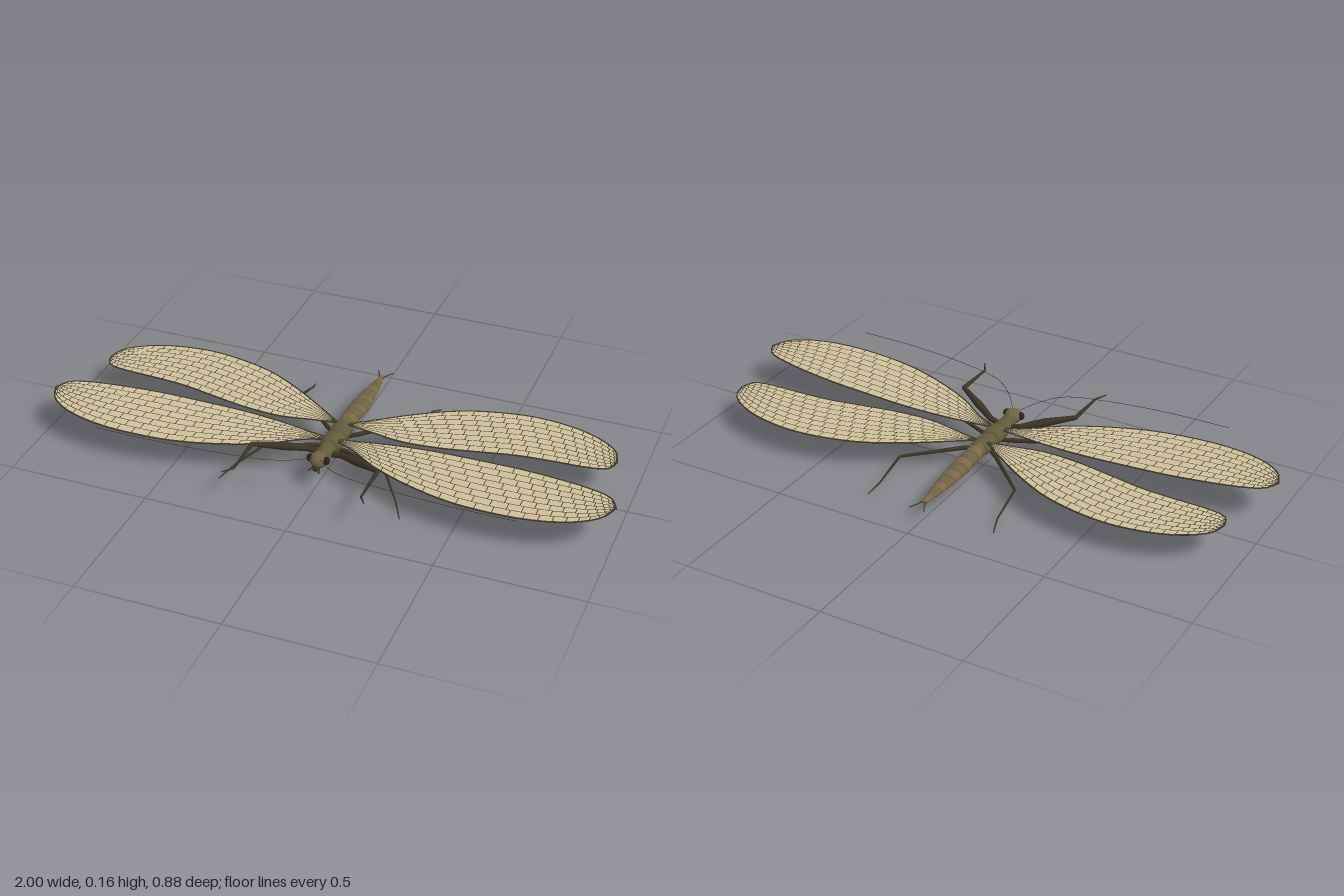
import * as THREE from 'three';
import { mergeGeometries } from 'three/addons/utils/BufferGeometryUtils.js';

const V = (x, y, z) => new THREE.Vector3(x, y, z);
const mat = (color, side = THREE.FrontSide) => new THREE.MeshStandardMaterial({ color, side });
const BODY = mat(0x6f6340), BAND = mat(0x7a6845), THORAX = mat(0x625b3a), DARK = mat(0x3b3425), EYE = mat(0x2b2019);
const MEMBRANE = mat(0xcfc09a, THREE.DoubleSide), VEIN = mat(0x40392a, THREE.DoubleSide);

function add(parent, name, geometry, material) {
  const mesh = new THREE.Mesh(geometry, material);
  mesh.name = name;
  parent.add(mesh);
  return mesh;
}

// Indexed surface from a rows x cols grid of points
function gridSurface(rows, cols, point) {
  const pos = [], index = [];
  for (let i = 0; i <= rows; i++) for (let j = 0; j <= cols; j++) pos.push(...point(i, j).toArray());
  for (let i = 0; i < rows; i++) for (let j = 0; j < cols; j++) {
    const a = i * (cols + 1) + j, b = a + cols + 1;
    index.push(a, a + 1, b, b, a + 1, b + 1);
  }
  const g = new THREE.BufferGeometry();
  g.setAttribute('position', new THREE.Float32BufferAttribute(pos, 3));
  g.setIndex(index);
  g.computeVertexNormals();
  return g;
}

// Elliptical body section; stations are [z, centre y, half width, half height], running front to back
function loft(stations, sides = 20) {
  return gridSurface(stations.length - 1, sides, (i, j) => {
    const [z, y, rx, ry] = stations[i], a = -j / sides * Math.PI * 2;
    return V(Math.cos(a) * rx, y + Math.sin(a) * ry, z);
  });
}

// Tapered round limb section between two points
function limb(a, b, r1, r2) {
  const d = b.clone().sub(a);
  const g = new THREE.CylinderGeometry(r2, r1, d.length(), 8);
  g.applyQuaternion(new THREE.Quaternion().setFromUnitVectors(V(0, 1, 0), d.normalize()));
  const m = a.clone().add(b).multiplyScalar(0.5);
  return g.translate(m.x, m.y, m.z);
}

// Jointed leg: points with a radius at each joint
function leg(points, radii) {
  const parts = [];
  for (let i = 0; i < points.length - 1; i++) {
    parts.push(limb(points[i], points[i + 1], radii[i], radii[i + 1]));
    parts.push(new THREE.SphereGeometry(radii[i + 1], 8, 6).translate(...points[i + 1].toArray()));
  }
  return mergeGeometries(parts);
}

const hair = (points, r) => new THREE.TubeGeometry(new THREE.CatmullRomCurve3(points), 40, r, 6);

// Flat strip following a line of points
function ribbon(points, width) {
  return gridSurface(points.length - 1, 1, (i, j) => {
    const d = points[Math.min(i + 1, points.length - 1)].clone().sub(points[Math.max(i - 1, 0)]).normalize();
    return points[i].clone().add(V(-d.z, 0, d.x).multiplyScalar((j - 0.5) * width));
  });
}

// Wing from two edge outlines (x, z pairs running root to tip), with a rim and a net of veins on top
function wing(name, front, back, y0, slope, side) {
  const curve = (e) => new THREE.SplineCurve(e.map(([x, z]) => new THREE.Vector2(x, z)));
  const F = curve(front), B = curve(back), ROWS = 40;
  const at = (t, s, lift = 0) => {
    const p = F.getPoint(t).lerp(B.getPoint(t), s);
    return V(side * p.x, y0 + slope * p.x + lift, p.y);
  };
  const line = (s, lift) => Array.from({ length: ROWS + 1 }, (_, i) => at(i / ROWS, s, lift));
  const group = new THREE.Group();
  group.name = name;
  // upward-facing winding on both sides
  add(group, 'membrane', gridSurface(ROWS, 10, (i, j) => at(i / ROWS, side > 0 ? 1 - j / 10 : j / 10)), MEMBRANE);
  add(group, 'rim', mergeGeometries([hair(line(0, 0), 0.0028), hair(line(1, 0), 0.0028)]), VEIN);
  const strips = [], LONG = 8, CROSS = 24;
  for (let k = 0; k < LONG; k++) {
    if (k > 0) strips.push(ribbon(line(k / LONG, 0.0015), 0.0026));
    for (let c = 4; c < CROSS; c++) {
      const t = (c + ((k * 5) % 7) / 7) / CROSS;
      if (t < 0.97) strips.push(ribbon([at(t, k / LONG, 0.0015), at(t, (k + 1) / LONG, 0.0015)], 0.0028));
    }
  }
  add(group, 'veins', mergeGeometries(strips), VEIN);
  return group;
}

export function createModel() {
  const model = new THREE.Group();
  model.name = 'wingedInsect';

  // Abdomen: overlapping segments that taper towards the tail
  const profile = new THREE.CatmullRomCurve3([
    V(0.028, 0.025, 0.081), V(0.03, 0.023, 0.077), V(0.034, 0.02, 0.072),
    V(0.03, 0.016, 0.068), V(0.021, 0.012, 0.065), V(0.009, 0.006, 0.062)]);
  const SEG = 10, z0 = -0.01, len = 0.382;
  for (let i = 0; i < SEG; i++) {
    const a = profile.getPoint(i / SEG), b = profile.getPoint((i + 1) / SEG);
    const za = z0 - len * i / SEG, zb = z0 - len * (i + 1) / SEG;
    add(model, 'abdomenSegment' + (i + 1), loft([
      [za, a.z, 0, 0], [za, a.z, a.x * 0.98, a.y * 0.98], [za - 0.006, a.z, a.x, a.y],
      [zb + 0.003, b.z, b.x * 1.01, b.y * 1.02], [zb - 0.002, b.z, b.x * 0.95, b.y * 0.95], [zb - 0.003, b.z, 0, 0]]),
      i % 2 ? BAND : BODY);
  }

  // Thorax in three parts
  const thoraxPart = (name, front, back, y, rx, ry) => add(model, name, loft([
    [front, y, 0, 0], [front, y, rx * 0.8, ry * 0.8], [front - 0.012, y, rx, ry],
    [back + 0.012, y - 0.001, rx, ry], [back, y - 0.001, rx * 0.85, ry * 0.85], [back, y - 0.001, 0, 0]]), THORAX);
  thoraxPart('rearThorax', 0.045, -0.04, 0.081, 0.035, 0.026);
  thoraxPart('middleThorax', 0.115, 0.04, 0.084, 0.037, 0.028);
  thoraxPart('frontThorax', 0.185, 0.11, 0.087, 0.027, 0.023);

  // Head with mouthparts
  add(model, 'head', new THREE.SphereGeometry(1, 20, 14).scale(0.031, 0.026, 0.034).translate(0, 0.092, 0.207), BODY);
  add(model, 'mouth', limb(V(0, 0.085, 0.222), V(0, 0.068, 0.242), 0.016, 0.008), DARK);

  const foreFront = [[0.02, 0.1], [0.09, 0.13], [0.19, 0.2], [0.33, 0.265], [0.49, 0.312], [0.65, 0.327], [0.78, 0.32],
    [0.89, 0.29], [0.965, 0.24], [0.996, 0.175]];
  const foreBack = [[0.02, 0.085], [0.09, 0.077], [0.19, 0.063], [0.33, 0.053], [0.49, 0.055], [0.65, 0.062], [0.78, 0.077],
    [0.89, 0.097], [0.965, 0.125], [0.996, 0.175]];
  const hindFront = [[0.02, -0.01], [0.11, 0.004], [0.22, 0.023], [0.35, 0.016], [0.48, -0.008], [0.61, -0.033], [0.74, -0.042],
    [0.84, -0.046], [0.91, -0.062], [0.93, -0.11]];
  const hindBack = [[0.02, -0.015], [0.11, -0.08], [0.22, -0.155], [0.35, -0.225], [0.48, -0.263], [0.61, -0.278], [0.74, -0.262],
    [0.84, -0.225], [0.91, -0.17], [0.93, -0.11]];

  for (const s of [1, -1]) {
    const n = s > 0 ? 'left' : 'right';
    const P = (x, y, z) => V(s * x, y, z);

    model.add(wing(n + 'Forewing', foreFront, foreBack, 0.1, 0.032, s));
    model.add(wing(n + 'Hindwing', hindFront, hindBack, 0.1, 0.009, s));

    // Eyes, feelers and palps
    add(model, n + 'Eye', new THREE.SphereGeometry(0.014, 14, 10).translate(s * 0.027, 0.096, 0.212), EYE);
    add(model, n + 'Antenna', hair([P(0.014, 0.108, 0.228), P(0.06, 0.125, 0.285), P(0.13, 0.141, 0.335), P(0.27, 0.15, 0.365),
      P(0.5, 0.156, 0.387), P(0.73, 0.158, 0.39)], 0.001), DARK);
    add(model, n + 'Palp', hair([P(0.01, 0.077, 0.232), P(0.018, 0.072, 0.25), P(0.014, 0.074, 0.26)], 0.003), DARK);

    // Raised grasping forelegs, then the two standing pairs
    add(model, n + 'Foreleg', leg([P(0.015, 0.08, 0.15), P(0.06, 0.09, 0.155), P(0.13, 0.107, 0.195), P(0.222, 0.126, 0.248),
      P(0.222, 0.126, 0.4), P(0.245, 0.131, 0.438)], [0.009, 0.011, 0.015, 0.008, 0.004, 0.002]), DARK);
    add(model, n + 'MiddleLeg', leg([P(0.02, 0.062, 0.085), P(0.06, 0.066, 0.095), P(0.22, 0.066, 0.165), P(0.285, 0.03, 0.25),
      P(0.32, 0.002, 0.307)], [0.007, 0.008, 0.005, 0.003, 0.002]), DARK);
    add(model, n + 'HindLeg', leg([P(0.02, 0.062, 0.005), P(0.06, 0.064, -0.025), P(0.222, 0.064, -0.185), P(0.226, 0.022, -0.31),
      P(0.24, 0.002, -0.36)], [0.007, 0.008, 0.005, 0.003, 0.002]), DARK);

    // Tail bristles
    add(model, n + 'TailBristle', hair([P(0.006, 0.062, -0.385), P(0.013, 0.061, -0.412), P(0.028, 0.059, -0.442)], 0.002), DARK);
  }
  return model;
}
